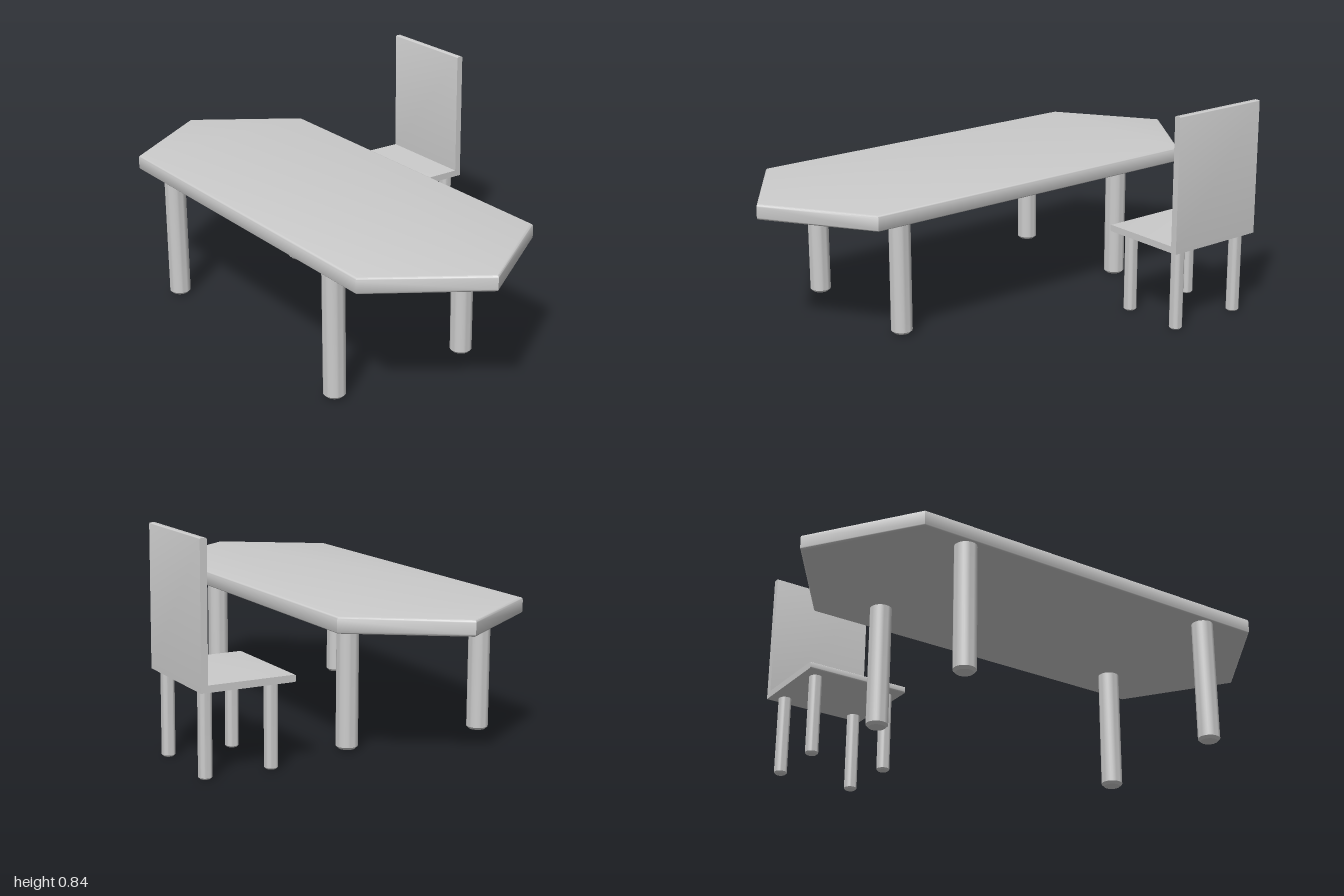
import * as THREE from 'three';
import { toCreasedNormals } from 'three/addons/utils/BufferGeometryUtils.js';

const material = new THREE.MeshStandardMaterial({ color: 0xcccccc });

function addMesh(parent, name, geometry, x = 0, y = 0, z = 0) {
  const mesh = new THREE.Mesh(toCreasedNormals(geometry, 0.6), material);
  mesh.name = name;
  mesh.position.set(x, y, z);
  parent.add(mesh);
}

// Round leg with a chamfered foot
function legGeometry(radius, bottom, top, chamfer) {
  const profile = [
    [0, bottom], [radius - chamfer, bottom], [radius, bottom + chamfer], [radius, top], [0, top],
  ].map(([r, y]) => new THREE.Vector2(r, y));
  return new THREE.LatheGeometry(profile, 32);
}

function addLegs(parent, name, geometry, xs, zs) {
  for (const x of xs) for (const z of zs) addMesh(parent, name, geometry, x, 0, z);
}

function createTable() {
  const table = new THREE.Group();
  table.name = 'table';

  // Long six-sided top with softly rounded edges
  const outline = [[0, -1], [0.392, -0.735], [0.392, 0.735], [0, 1], [-0.392, 0.735], [-0.392, -0.735]];
  const shape = new THREE.Shape(outline.map(([x, z]) => new THREE.Vector2(x, z)));
  const bevel = 0.01, thickness = 0.06;
  const top = new THREE.ExtrudeGeometry(shape, {
    depth: thickness - 2 * bevel,
    bevelThickness: bevel, bevelSize: bevel, bevelOffset: -bevel, bevelSegments: 4,
  });
  top.translate(0, 0, bevel).rotateX(-Math.PI / 2);
  addMesh(table, 'tableTop', top, -0.244, 0.483, 0);

  addLegs(table, 'tableLeg', legGeometry(0.041, 0.006, 0.485, 0.01), [-0.587, -0.011], [0.538, -0.538]);
  return table;
}

function createChair() {
  const chair = new THREE.Group();
  chair.name = 'chair';

  // Seat and back as one L-shaped profile with rounded free ends
  const x0 = 0.274, x1 = 0.609, x2 = 0.635;
  const y0 = 0.316, y1 = 0.342, y2 = 0.842, r = 0.006;
  const profile = new THREE.Shape();
  profile.moveTo(x0 + r, y0);
  profile.lineTo(x2, y0);
  profile.lineTo(x2, y2 - r);
  profile.quadraticCurveTo(x2, y2, x2 - r, y2);
  profile.lineTo(x1 + r, y2);
  profile.quadraticCurveTo(x1, y2, x1, y2 - r);
  profile.lineTo(x1, y1);
  profile.lineTo(x0 + r, y1);
  profile.quadraticCurveTo(x0, y1, x0, y1 - r);
  profile.lineTo(x0, y0 + r);
  profile.quadraticCurveTo(x0, y0, x0 + r, y0);
  const body = new THREE.ExtrudeGeometry(profile, { depth: 0.418, bevelEnabled: false, curveSegments: 4 });
  addMesh(chair, 'seatAndBack', body, 0, 0, -0.673);

  addLegs(chair, 'chairLeg', legGeometry(0.025, 0, 0.318, 0.006), [0.341, 0.595], [-0.305, -0.614]);
  return chair;
}

export function createModel() {
  const model = new THREE.Group();
  model.name = 'tableAndChair';
  model.add(createTable(), createChair());
  return model;
}
